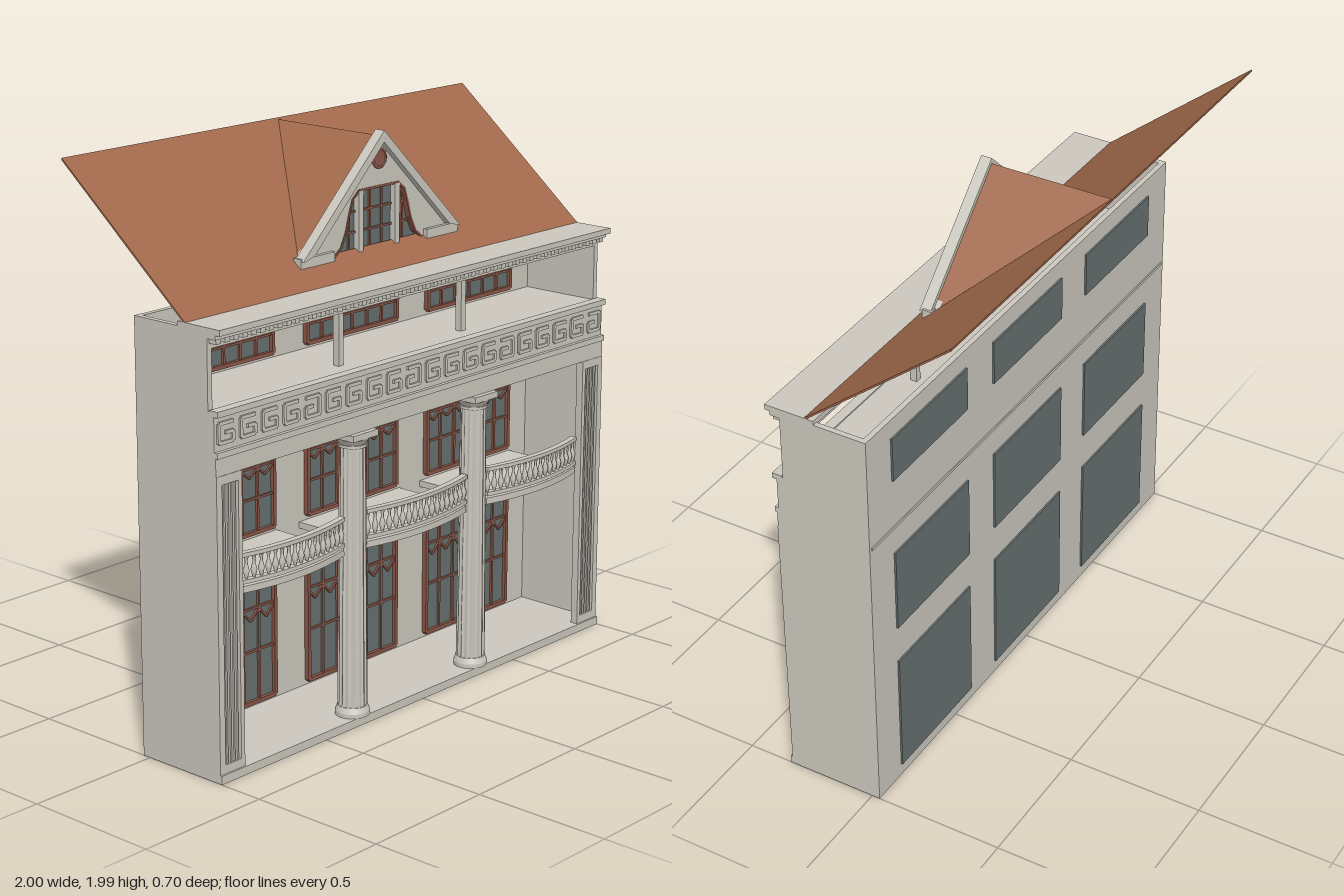
import * as THREE from 'three';

const paint = (name, color) => {
  const m = new THREE.MeshStandardMaterial({ color });
  m.name = name;
  return m;
};

export function createModel() {
  const root = new THREE.Group();
  root.name = 'porticoFacade';
  const stone = paint('pale stone', 0xcbc7be);
  const tile = paint('terracotta roof', 0xa2694c);
  tile.side = THREE.DoubleSide;
  const glass = paint('grey green glass', 0x65716f);
  const wood = paint('red brown frames', 0x8a5647);

  const add = (name, geo, mat, parent = root) => {
    const m = new THREE.Mesh(geo, mat);
    m.name = name;
    parent.add(m);
    return m;
  };
  // Box given by its limits on each axis
  const box = (name, x0, x1, y0, y1, z0, z1, mat = stone, parent = root) => {
    const m = add(name, new THREE.BoxGeometry(x1 - x0, y1 - y0, z1 - z0), mat, parent);
    m.position.set((x0 + x1) / 2, (y0 + y1) / 2, (z0 + z1) / 2);
    return m;
  };
  // Slim bar between two points of a vertical plane
  const bar = (name, x0, y0, x1, y1, w, z0, z1, mat, parent = root) => {
    const m = add(name, new THREE.BoxGeometry(Math.hypot(x1 - x0, y1 - y0), w, z1 - z0), mat, parent);
    m.position.set((x0 + x1) / 2, (y0 + y1) / 2, (z0 + z1) / 2);
    m.rotation.z = Math.atan2(y1 - y0, x1 - x0);
    return m;
  };
  const group = (name) => {
    const g = new THREE.Group();
    g.name = name;
    root.add(g);
    return g;
  };
  const shapeOf = (pts) => new THREE.Shape(pts.map(([x, y]) => new THREE.Vector2(x, y)));
  const extrude = (shape, depth, z) =>
    new THREE.ExtrudeGeometry(shape, { depth, bevelEnabled: false, curveSegments: 16 }).translate(0, 0, z);

  // Shell: plinth, back wall, thin side walls, entablature
  box('plinth', -1, 1, 0, 0.03, -0.03, 0.335);
  box('backWall', -0.99, 0.99, 0.03, 1.505, -0.03, -0.01);
  box('backStringCourse', -0.99, 0.99, 1.075, 1.085, -0.034, -0.03);
  for (const s of [-1, 1]) {
    const wall = group(s < 0 ? 'rightSideWall' : 'leftSideWall');
    const sb = (name, a, b, ...r) => box(name, Math.min(s * a, s * b), Math.max(s * a, s * b), ...r, stone, wall);
    sb('lowerSide', 0.98, 1, 0.03, 1.25, -0.03, 0.32);
    sb('upperSide', 0.98, 1, 1.25, 1.505, -0.03, 0.295);
    // Fluted pilaster at the front corner
    sb('pilasterBack', 0.885, 0.98, 0.03, 1.04, 0.3, 0.312);
    sb('pilasterOuterEdge', 0.975, 1, 0.03, 1.04, 0.3, 0.328);
    sb('pilasterInnerEdge', 0.885, 0.902, 0.03, 1.04, 0.3, 0.328);
    sb('pilasterFoot', 0.902, 0.975, 0.03, 0.06, 0.3, 0.328);
    sb('pilasterHead', 0.902, 0.975, 1.01, 1.04, 0.3, 0.328);
    for (let i = 0; i < 4; i++) sb('pilasterRib', 0.911 + i * 0.016, 0.918 + i * 0.016, 0.06, 1.01, 0.31, 0.324);
  }
  box('entablature', -0.99, 0.99, 1.04, 1.25, -0.01, 0.32);
  box('architraveBand', -1, 1, 1.04, 1.1, 0.3, 0.326);
  box('architraveMoulding', -1, 1, 1.1, 1.12, 0.3, 0.334);
  box('friezeCap', -1, 1, 1.235, 1.255, 0.3, 0.337);

  // Key pattern on the frieze, mirrored about the middle
  const frieze = group('keyFrieze');
  const strokes = [[0, 0, 0, 1], [0, 1, 1, 1], [0, 0, 1, 0], [1, 0, 1, 0.5], [0.45, 0.5, 1, 0.5]];
  for (let i = 0; i < 20; i++) {
    const x = -0.95 + i * 0.1, flip = i % 5 === 4 ? -1 : 1;
    for (const [a, b, c, d] of strokes)
      bar('keyStroke', x + flip * (a - 0.5) * 0.064, 1.146 + b * 0.064,
        x + flip * (c - 0.5) * 0.064, 1.146 + d * 0.064, 0.012, 0.318, 0.327, stone, frieze);
  }

  // Upper gallery: posts, beam, dentils and cornice
  for (const x of [-0.315, 0.315]) box('galleryPost', x - 0.012, x + 0.012, 1.25, 1.45, 0.21, 0.235);
  box('galleryBeam', -0.99, 0.99, 1.45, 1.5, 0.2, 0.295);
  box('corniceBed', -1, 1, 1.485, 1.5, 0.2, 0.332);
  box('cornice', -1, 1, 1.5, 1.52, 0.165, 0.35);
  const dentils = group('dentils');
  for (let i = 0; i < 50; i++) {
    const x = -0.98 + i * 0.04;
    box('dentil', x - 0.011, x + 0.011, 1.468, 1.485, 0.29, 0.325, stone, dentils);
  }

  // Windows: glass, frame, glazing bars and a zigzag band
  const windowBay = (name, x, y0, y1, rows, zig, drop) => {
    const g = group(name), w = 0.23, z0 = -0.006, z1 = 0.003;
    box('pane', x - w, x + w, y0, y1, -0.037, -0.005, glass, g);
    for (const s of [-1, 1]) bar('jamb', x + s * w, y0, x + s * w, y1, 0.014, -0.012, 0.008, wood, g);
    for (const y of [y0, y1]) bar('rail', x - w, y, x + w, y, 0.014, -0.012, 0.008, wood, g);
    for (const y of rows) bar('crossBar', x - w, y, x + w, y, 0.008, z0, z1, wood, g);
    const p = (2 * w) / 6;
    for (let i = 0; i < 6; i++) {
      const a = x - w + i * p;
      if (i) bar('uprightBar', a, y0, a, y1, 0.009, z0, z1, wood, g);
      bar('zigzagDown', a, zig, a + p / 2, zig - drop, 0.007, z0, z1, wood, g);
      bar('zigzagUp', a + p / 2, zig - drop, a + p, zig, 0.007, z0, z1, wood, g);
    }
  };
  for (const x of [-0.63, 0, 0.63]) {
    windowBay('groundWindow', x, 0.05, 0.515, [0.235, 0.39], 0.385, 0.04);
    windowBay('middleWindow', x, 0.66, 0.975, [0.78, 0.89], 0.885, 0.03);
    windowBay('upperWindow', x, 1.27, 1.435, [1.335, 1.395], 1.39, 0.035);
  }

  // Fluted columns
  for (const x of [-0.315, 0.315]) {
    const g = group('column');
    g.position.set(x, 0, 0.285);
    const shaft = new THREE.CylinderGeometry(0.045, 0.052, 0.94, 80, 1, true);
    const p = shaft.attributes.position;
    for (let i = 0; i < p.count; i++) {
      const k = [1, 1, 0.93, 0.91, 0.93][(i % 81) % 5];
      p.setX(i, p.getX(i) * k);
      p.setZ(i, p.getZ(i) * k);
    }
    shaft.computeVertexNormals();
    add('shaft', shaft, stone, g).position.y = 0.53;
    const ring = (name, r0, r1, y0, y1) =>
      add(name, new THREE.CylinderGeometry(r1, r0, y1 - y0, 32), stone, g).position.set(0, (y0 + y1) / 2, 0);
    ring('baseDisc', 0.06, 0.06, 0.03, 0.045);
    ring('baseTaper', 0.06, 0.052, 0.045, 0.065);
    ring('neckRing', 0.049, 0.049, 0.985, 0.995);
    ring('capital', 0.045, 0.06, 0.995, 1.018);
    box('abacus', -0.062, 0.062, 1.018, 1.04, -0.062, 0.06, stone, g);
  }

  // Bowed balconies with turned balusters
  const profile = [[0.004, 0], [0.008, 0.012], [0.011, 0.028], [0.005, 0.05], [0.005, 0.062], [0.009, 0.078]];
  const baluster = new THREE.LatheGeometry(profile.map(([r, y]) => new THREE.Vector2(r, y)), 8);
  const balcony = (x0, x1) => {
    const g = group('balcony'), mid = (x0 + x1) / 2, half = (x1 - x0) / 2;
    const bow = (x) => 0.296 + 0.036 * (1 - ((x - mid) / half) ** 2);
    const xs = Array.from({ length: 17 }, (_, i) => x0 + ((x1 - x0) * i) / 16);
    // Flat band following the bow; straight back when 'back' is given
    const band = (name, top, h, out, back) => {
      const front = xs.map((x) => [x, bow(x) + out]);
      const rear = back === undefined ? xs.map((x) => [x, bow(x) - 0.014]).reverse() : [[x1, back], [x0, back]];
      const geo = extrude(shapeOf([...front, ...rear]), h, 0).rotateX(Math.PI / 2).translate(0, top, 0);
      add(name, geo, stone, g);
    };
    band('slab', 0.638, 0.023, 0.006, -0.01);
    band('bottomRail', 0.66, 0.014, 0.009);
    band('handRail', 0.752, 0.014, 0.01);
    const n = Math.round((x1 - x0) / 0.03);
    for (let i = 0; i <= n; i++) {
      const x = x0 + 0.01 + ((x1 - x0 - 0.02) * i) / n;
      add('baluster', baluster, stone, g).position.set(x, 0.66, bow(x) - 0.002);
    }
  };
  balcony(-0.885, -0.375);
  balcony(-0.262, 0.262);
  balcony(0.375, 0.885);

  // Main roof: one thin slope, open beneath the dormer
  const slope = shapeOf([[-1, 0], [1, 0], [1, 1], [-1, 1]]);
  slope.holes.push(new THREE.Path([[-0.385, 0.165], [0, 0.985], [0.385, 0.165]].map((p) => new THREE.Vector2(...p))));
  const roof = extrude(slope, 0.008, -0.008);
  const rp = roof.attributes.position;
  for (let i = 0; i < rp.count; i++) {
    const t = rp.getY(i), d = rp.getZ(i);
    rp.setXYZ(i, rp.getX(i), 1.52 + 0.45 * t + d, 0.2 - 0.55 * t);
  }
  roof.computeVertexNormals();
  add('mainRoof', roof, tile);

  // Dormer roof: two triangular slopes
  const dormer = new THREE.BufferGeometry();
  dormer.setAttribute('position', new THREE.Float32BufferAttribute([
    0, 1.965, 0.12, 0, 1.965, -0.344, -0.385, 1.594, 0.11,
    0, 1.965, 0.12, 0.385, 1.594, 0.11, 0, 1.965, -0.344], 3));
  dormer.computeVertexNormals();
  add('dormerRoof', dormer, tile);

  // Gable wall with a bell-shaped window
  const gable = group('gable');
  const bell = [[0.235, 1.575], [0.19, 1.61], [0.165, 1.66], [0.148, 1.72], [0.132, 1.765], [0.1, 1.792]];
  const bellLeft = bell.map(([x, y]) => [-x, y]);
  add('gableWall', extrude(shapeOf([[-0.385, 1.575], ...bellLeft, ...[...bell].reverse(),
    [0.385, 1.575], [0.385, 1.595], [0, 1.955], [-0.385, 1.595]]), 0.035, 0.085), stone, gable);
  add('gablePane', extrude(shapeOf([...bell, ...[...bellLeft].reverse()]), 0.01, 0.092), glass, gable);
  for (const s of [-1, 1]) {
    const rake = [[0.4, 1.6], [0, 1.985], [0, 1.945], [0.345, 1.612], [0.39, 1.6]].map(([x, y]) => [s * x, y]);
    add('rakeMoulding', extrude(shapeOf(rake), 0.04, 0.105), stone, gable);
    box('gableFoot', s < 0 ? -0.4 : 0.235, s < 0 ? -0.235 : 0.4, 1.575, 1.608, 0.1, 0.135, stone, gable);
    box('gablePost', s * 0.092 - 0.012, s * 0.092 + 0.012, 1.575, 1.79, 0.09, 0.124, stone, gable);
    for (let i = 1; i < bell.length; i++)
      bar('bellFrame', s * bell[i - 1][0], bell[i - 1][1], s * bell[i][0], bell[i][1], 0.008, 0.1, 0.122, wood, gable);
    bar('gableUpright', s * 0.03, 1.575, s * 0.03, 1.79, 0.007, 0.1, 0.108, wood, gable);
    bar('gableUpright', s * 0.135, 1.575, s * 0.135, 1.755, 0.007, 0.1, 0.108, wood, gable);
  }
  bar('bellHead', -0.1, 1.792, 0.1, 1.792, 0.008, 0.1, 0.122, wood, gable);
  for (const [y, w] of [[1.65, 0.165], [1.72, 0.147]])
    bar('gableCrossBar', -w, y, w, y, 0.007, 0.1, 0.108, wood, gable);

  // Round attic vent
  const disc = new THREE.CylinderGeometry(0.028, 0.028, 0.006, 32).rotateX(Math.PI / 2);
  add('roundVent', disc, wood, gable).position.set(0, 1.888, 0.122);
  add('roundVentRim', new THREE.TorusGeometry(0.031, 0.005, 8, 32), wood, gable).position.set(0, 1.888, 0.122);

  return root;
}
